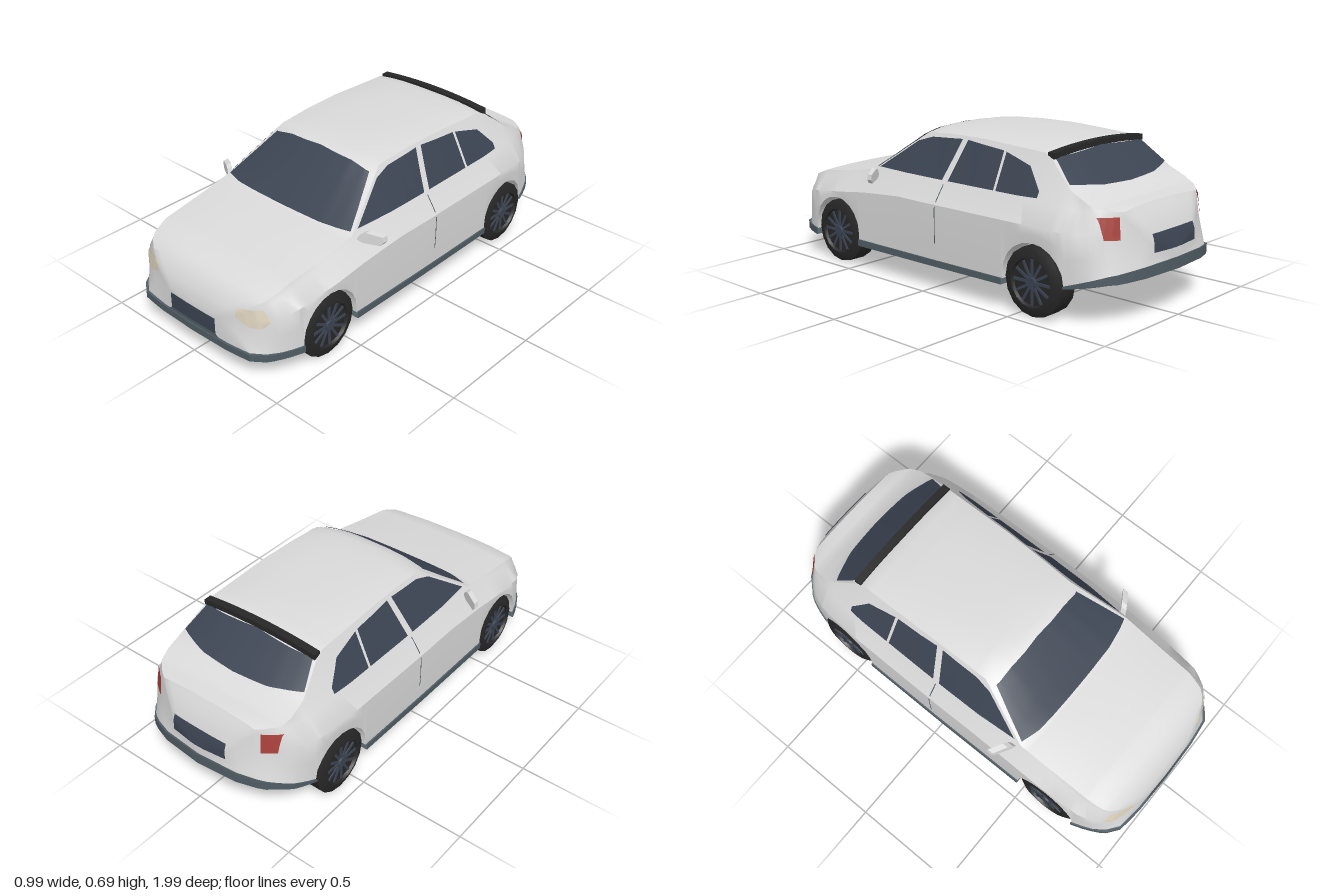
import * as THREE from 'three';
import { toCreasedNormals } from 'three/addons/utils/BufferGeometryUtils.js';

const mat = (name, color, side = THREE.FrontSide) => {
  const m = new THREE.MeshStandardMaterial({ color, side });
  m.name = name;
  return m;
};

// Piecewise linear lookup in a list of [z, value], z falling
function curve(keys, z) {
  if (z >= keys[0][0]) return keys[0][1];
  for (let i = 1; i < keys.length; i++) {
    const [z0, v0] = keys[i - 1], [z1, v1] = keys[i];
    if (z >= z1) return v0 + (v1 - v0) * (z0 - z) / (z0 - z1);
  }
  return keys[keys.length - 1][1];
}

// Body curves along the length
const halfWidth = [[.99, 0], [.985, .17], [.97, .235], [.95, .295], [.93, .34], [.9, .385], [.87, .412], [.8, .44],
  [.6, .455], [0, .46], [-.5, .455], [-.7, .44], [-.78, .412], [-.84, .368], [-.88, .312], [-.91, .265],
  [-.94, .215], [-.965, .165], [-.985, 0]];
const bumperWidth = [[.99, 0], [.985, .2], [.972, .325], [.93, .382], [.87, .425], [.8, .45], [.77, .459], [0, .461],
  [-.5, .457], [-.7, .445], [-.8, .418], [-.85, .395], [-.9, .345], [-.93, .3], [-.965, .2], [-.985, 0]];
const centreY = [[.99, .22], [.985, .25], [.97, .3], [.93, .36], [.88, .395], [.8, .422], [.6, .455], [.46, .475],
  [.2, .675], [.1, .688], [-.1, .692], [-.4, .688], [-.56, .675], [-.75, .525], [-.82, .488], [-.9, .478],
  [-.935, .42], [-.965, .345], [-.985, .28]];
const cornerY = [[.99, .21], [.985, .245], [.97, .29], [.93, .345], [.88, .38], [.8, .41], [.6, .44], [.43, .47],
  [.16, .663], [0, .674], [-.2, .676], [-.55, .66], [-.7, .535], [-.82, .48], [-.9, .465], [-.935, .405],
  [-.965, .335], [-.985, .275]];
const cornerX = [[.99, 0], [.985, .15], [.97, .215], [.95, .27], [.93, .31], [.9, .35], [.87, .365], [.8, .375],
  [.43, .385], [.16, .292], [-.2, .3], [-.55, .302], [-.7, .345], [-.8, .35], [-.84, .33], [-.88, .285],
  [-.91, .24], [-.94, .19], [-.965, .145], [-.985, 0]];
const beltY = [[.99, .2], [.985, .235], [.97, .27], [.93, .32], [.88, .355], [.8, .385], [.6, .42], [.43, .45],
  [.2, .475], [-.6, .475], [-.7, .468], [-.82, .46], [-.9, .445], [-.935, .385], [-.965, .32], [-.985, .27]];
const baseY = [[.99, .135], [-.7, .138], [-.735, .162], [-.985, .245]];
const sillY = [[.99, .105], [-.43, .112], [-.735, .153], [-.985, .198]];

// Closed loft through equal rings of [x, y, z], running front to back
function loft(rings, crease) {
  const n = rings[0].length, idx = [];
  for (let i = 0; i + 1 < rings.length; i++)
    for (let j = 0; j < n; j++) {
      const k = (j + 1) % n, a = i * n + j, b = i * n + k, c = a + n, d = b + n;
      idx.push(a, c, b, b, c, d);
    }
  const g = new THREE.BufferGeometry();
  g.setAttribute('position', new THREE.Float32BufferAttribute(rings.flat(2), 3));
  g.setIndex(idx);
  return toCreasedNormals(g, crease);
}

// One body ring at z, with its lower edge at height b
function bodyRing([z, b]) {
  const w = curve(halfWidth, z), foot = curve(bumperWidth, z) * .985;
  const xr = curve(cornerX, z), yr = curve(cornerY, z), yb = curve(beltY, z);
  const ys = Math.max(.13 + (yb - .13) * .75, b + .005), top = curve(centreY, z);
  const half = [[foot, b], [Math.max(w, (w + foot) / 2), (b + ys) / 2], [w, ys],
    [Math.max(w * .87, xr * 1.03), Math.max(yb, ys)], [xr, yr]];
  for (const f of [.85, .57, .28]) half.push([xr * f, yr + (top - yr) * (1 - f ** 3)]);
  return [...half, [0, top], ...half.slice().reverse().map(([x, y]) => [-x, y])].map(([x, y]) => [x, y, z]);
}

const archR = .155, axles = [.63, -.58];
const arch = c => Array.from({ length: 11 }, (_, i) => {
  const a = Math.PI * i / 10;
  return [c + archR * Math.cos(a), .162 + archR * Math.sin(a)];
});
const zones = [
  [.99, .985, .978, .97, .95, .93, .905, .88, .84, .8, .785],
  [.475, .46, .43, .3, .2, .16, .1, 0, -.1, -.2, -.3, -.4, -.425],
  [-.735, -.75, -.78, -.82, -.84, -.86, -.88, -.9, -.915, -.935, -.95, -.965, -.977, -.985],
];

export function createModel() {
  const car = new THREE.Group();
  car.name = 'car';
  const paint = mat('body paint', 0xdadada);
  const glass = mat('dark glass', 0x3c4452, THREE.DoubleSide);
  const trim = mat('grey trim', 0x505d64, THREE.DoubleSide);
  const rubber = mat('black rubber', 0x272727, THREE.DoubleSide);
  const lamp = mat('headlight cream', 0xdcd3bd, THREE.DoubleSide);
  const red = mat('tail light red', 0xa8403a, THREE.DoubleSide);
  const add = (name, geo, m, parent = car) => {
    const mesh = new THREE.Mesh(geo, m);
    mesh.name = name;
    parent.add(mesh);
    return mesh;
  };

  // Body shell, open at the wheel arches
  const based = zone => zone.map(z => [z, curve(baseY, z)]);
  const stations = [...based(zones[0]), ...arch(axles[0]), ...based(zones[1]), ...arch(axles[1]), ...based(zones[2])];
  const body = add('body', loft(stations.map(bodyRing), .6), paint);

  // Inner wheel housings, flat underneath
  for (const c of axles) {
    const pts = [[c + archR, .128], ...arch(c), [c - archR, .128]].map(([z, y]) => new THREE.Vector2(-z, y));
    const geo = new THREE.ExtrudeGeometry(new THREE.Shape(pts), { depth: .67, bevelEnabled: false });
    add('wheelHousing', geo.rotateY(Math.PI / 2).translate(-.335, 0, 0), paint);
  }

  // Bumpers, sills and floor plates
  ['frontBumper', 'floorAndSills', 'rearBumper'].forEach((name, i) => {
    add(name, loft(zones[i].map(z => {
      const x = curve(bumperWidth, z), u = curve(baseY, z) + .002, l = curve(sillY, z);
      const zz = Math.abs(z) > .9 ? z * 1.01 : z;
      return [[x, l, zz], [x, u, zz], [-x, u, zz], [-x, l, zz]];
    }), .5), trim);
  });

  // Thin patch between a lower and an upper outline, laid onto the body
  const ray = new THREE.Raycaster();
  const along = (pts, t) => {
    const f = t * (pts.length - 1), i = Math.min(Math.floor(f), pts.length - 2), k = f - i;
    return [0, 1].map(a => pts[i][a] + (pts[i + 1][a] - pts[i][a]) * k);
  };
  function patch(name, m, from, lower, upper, mirror = 1, off = .005) {
    const nu = 24, nv = 8, g = new THREE.PlaneGeometry(1, 1, nu, nv), p = g.attributes.position;
    for (let r = 0; r <= nv; r++)
      for (let c = 0; c <= nu; c++) {
        const a = along(lower, c / nu), b = along(upper, c / nu), s = r / nv;
        const u = a[0] + (b[0] - a[0]) * s, v = a[1] + (b[1] - a[1]) * s;
        const o = from === 'side' ? [3 * mirror, v, u] : [u * mirror + 1e-4, v, from === 'front' ? 3 : -3];
        const d = from === 'side' ? [-mirror, 0, 0] : [0, 0, from === 'front' ? -1 : 1];
        ray.set(new THREE.Vector3(...o), new THREE.Vector3(...d));
        const hit = ray.intersectObject(body)[0];
        const q = hit ? hit.point.addScaledVector(hit.face.normal, off) : new THREE.Vector3(...o).setZ(0);
        p.setXYZ(r * (nu + 1) + c, q.x, q.y, q.z);
      }
    g.computeVertexNormals();
    add(name, g, m);
  }

  // Front and rear glass, grille and number plate recess
  patch('windshield', glass, 'front', [[-.37, .478], [0, .477], [.37, .478]],
    [[-.278, .641], [-.18, .661], [0, .67], [.18, .661], [.278, .641]]);
  patch('rearWindow', glass, 'back', [[-.333, .552], [-.17, .535], [0, .529], [.17, .535], [.333, .552]],
    [[-.293, .642], [0, .658], [.293, .642]], 1, .004);
  patch('grille', glass, 'front', [[-.138, .153], [.138, .153]], [[-.138, .229], [.138, .229]]);
  patch('grilleSurround', trim, 'front', [[-.16, .137], [.16, .137]], [[-.138, .153], [.138, .153]]);
  patch('rearPlate', glass, 'back', [[-.145, .288], [.145, .288]], [[-.145, .363], [.145, .363]]);

  for (const m of [1, -1]) {
    const side = m > 0 ? 'left' : 'right';
    // Side glass and door seam
    patch(side + 'FrontWindow', glass, 'side', [[.395, .485], [.2, .485], [.1, .485], [-.025, .485]],
      [[.385, .49], [.2, .622], [.12, .647], [-.068, .66]], m, .004);
    patch(side + 'RearWindow', glass, 'side', [[-.06, .485], [-.325, .485]], [[-.1, .66], [-.318, .643]], m, .004);
    patch(side + 'QuarterWindow', glass, 'side', [[-.338, .485], [-.45, .485], [-.56, .488]],
      [[-.333, .64], [-.48, .602], [-.56, .515]], m, .004);
    patch(side + 'DoorSeam', trim, 'side', [[-.035, .215], [-.04, .215]], [[-.038, .47], [-.043, .47]], m, .002);

    // Lamps
    patch(side + 'Headlight', lamp, 'front', [[.24, .275], [.3, .248], [.352, .25], [.38, .282]],
      [[.24, .315], [.295, .326], [.35, .331], [.382, .29]], m);
    patch(side + 'TailLight', red, 'back', [[.282, .355], [.34, .358]], [[.277, .447], [.348, .447]], m);

    // Door mirror, swept back
    const outline = [[.395, .452], [.42, .436], [.482, .43], [.495, .448], [.49, .472], [.43, .487], [.41, .478]];
    const geo = new THREE.ExtrudeGeometry(new THREE.Shape(outline.map(([x, y]) => new THREE.Vector2(x, y))),
      { depth: .028, bevelEnabled: false });
    const p = geo.attributes.position;
    for (let i = 0; i < p.count; i++) p.setZ(i, p.getZ(i) + .385 - (p.getX(i) - .4) * .6);
    geo.computeVertexNormals();
    const pod = add(side + 'Mirror', geo, paint);
    if (m < 0) pod.scale.x = -1;

    // Wheels
    axles.forEach((z, i) => {
      const wheel = new THREE.Group();
      wheel.name = side + (i ? 'RearWheel' : 'FrontWheel');
      wheel.position.set(m * .4, .15, z);
      if (m < 0) wheel.rotation.y = Math.PI;
      car.add(wheel);
      const profile = [[0, -.055], [.15, -.055], [.15, .033], [.115, .05], [.105, .05], [.1, .036], [0, .036]];
      const tyre = new THREE.LatheGeometry(profile.map(([r, y]) => new THREE.Vector2(r, y)), 16);
      add('tyre', toCreasedNormals(tyre.rotateZ(-Math.PI / 2), .5), rubber, wheel);
      add('hub', new THREE.CylinderGeometry(.024, .026, .014, 12).rotateZ(-Math.PI / 2).translate(.041, 0, 0), glass, wheel);
      for (let k = 0; k < 12; k++) {
        const spoke = new THREE.BoxGeometry(.006, .08, .012).translate(.038, .058, 0);
        add('spoke', spoke.rotateX(k * Math.PI / 6), glass, wheel);
      }
    });
  }

  // Roof spoiler, bowed with the roof
  const bar = new THREE.BoxGeometry(.61, .026, .036, 12).translate(0, .671, -.565), bp = bar.attributes.position;
  for (let i = 0; i < bp.count; i++) bp.setY(i, bp.getY(i) - .018 * (bp.getX(i) / .305) ** 2);
  bar.computeVertexNormals();
  add('spoiler', bar, rubber);
  return car;
}
